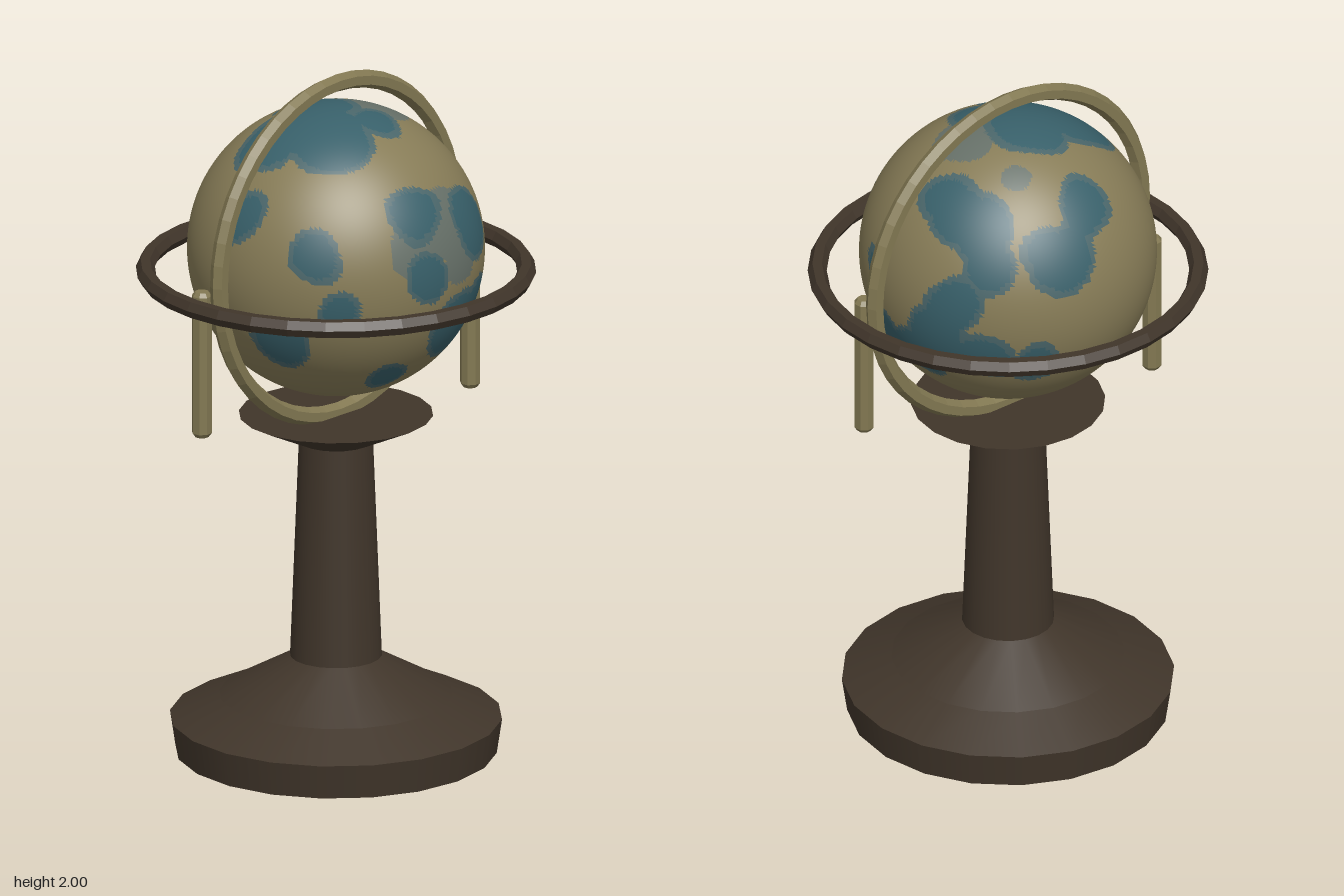
import * as THREE from 'three';

const mat = (name, color, flatShading = false) => {
  const m = new THREE.MeshStandardMaterial({ color, flatShading });
  m.name = name;
  return m;
};

// Patches of the globe map: [across, up, radius] on the unit ball as faced from a direction
const SEAS = [
  { az: 0, el: 0, discs: [
    [.12, .46, .17], [.14, .03, .13], [.45, -.4, .24], [-.62, .22, .14],
    [-.5, -.15, .09], [-.75, -.4, .17], [0, -.71, .13]] },
  { az: 90, el: 0, discs: [
    [-.72, .28, .22], [.05, .17, .09], [.45, .66, .18], [.7, .1, .17],
    [-.65, -.37, .22], [.1, -.3, .13], [.45, -.37, .2]] },
  { az: 0, el: 90, discs: [
    [-.5, 0, .24], [-.1, .08, .24], [-.25, -.3, .3], [.12, -.3, .14],
    [-.28, .7, .17], [.1, .87, .16], [.45, .65, .18], [.62, .32, .17]] },
  { az: 215, el: 25, discs: [
    [-.48, .05, .2], [-.25, .22, .12], [.5, .68, .18], [.85, .25, .15]] },
  { az: 145, el: -25, discs: [
    [.1, .75, .14], [.45, .7, .14], [-.3, .24, .19], [.05, .18, .17], [.4, .05, .14]] },
];
const SHALLOWS = [
  { az: 0, el: 0, discs: [[.35, .35, .25], [.45, .1, .18], [.02, .25, .18]] },
  { az: 0, el: 90, discs: [[.33, 0, .22], [.12, .5, .1]] },
];

// Turns the patch lists into centres on the unit ball
function placeDiscs(list) {
  const out = [];
  for (const { az, el, discs } of list) {
    const a = THREE.MathUtils.degToRad(az), e = THREE.MathUtils.degToRad(el);
    const facing = new THREE.Vector3(Math.sin(a) * Math.cos(e), Math.sin(e), Math.cos(a) * Math.cos(e));
    const right = new THREE.Vector3(Math.cos(a), 0, -Math.sin(a));
    const up = facing.clone().cross(right);
    for (const [u, v, r] of discs) {
      const w = Math.sqrt(1 - u * u - v * v);
      const centre = facing.clone().multiplyScalar(w).addScaledVector(right, u).addScaledVector(up, v);
      out.push({ centre, r });
    }
  }
  return out;
}

// Smooth ball whose faces are sorted into map colours
function globeGeometry(radius) {
  const geo = new THREE.SphereGeometry(radius, 180, 110);
  const seas = placeDiscs(SEAS), shallows = placeDiscs(SHALLOWS);
  const depth = (p, discs) => discs.reduce((best, d) => Math.max(best, d.r - p.distanceTo(d.centre)), -9);
  const pos = geo.attributes.position, old = geo.index.array;
  const bins = [[], [], [], []];
  const p = new THREE.Vector3(), q = new THREE.Vector3();
  for (let i = 0; i < old.length; i += 3) {
    p.set(0, 0, 0);
    for (let k = 0; k < 3; k++) p.add(q.fromBufferAttribute(pos, old[i + k]));
    p.normalize();
    const wobble = .025 * Math.sin(11 * p.x + 5 * p.y) + .02 * Math.sin(13 * p.z - 9 * p.y + 2);
    const sea = depth(p, seas) + wobble;
    const kind = sea > 0 ? 0 : sea > -.045 ? 1 : depth(p, shallows) + wobble > 0 ? 2 : 3;
    bins[kind].push(old[i], old[i + 1], old[i + 2]);
  }
  geo.setIndex(bins.flat());
  geo.clearGroups();
  let start = 0;
  bins.forEach((bin, k) => {
    geo.addGroup(start, bin.length, k);
    start += bin.length;
  });
  return geo;
}

export function createModel() {
  const model = new THREE.Group();
  model.name = 'standingGlobe';
  const wood = mat('dark wood', 0x40352a);
  const woodFlat = mat('dark wood faceted', 0x40352a, true);
  const brass = mat('aged brass', 0x827852, true);
  const map = [mat('sea', 0x38606a), mat('coast', 0x4a666a), mat('shallows', 0x677169), mat('land', 0x877c57)];

  const add = (name, geo, material, x = 0, y = 0) => {
    const m = new THREE.Mesh(geo, material);
    m.name = name;
    m.position.set(x, y, 0);
    model.add(m);
    return m;
  };

  // Pedestal: stacked frustums [name, bottom radius, top radius, bottom y, top y]
  const pedestal = [
    ['footRim', .455, .47, 0, .1],
    ['footLowerSlope', .47, .33, .1, .165],
    ['footUpperSlope', .33, .125, .165, .28],
    ['stem', .13, .105, .28, .92],
    ['dish', .105, .275, .915, .995],
  ];
  for (const [name, r0, r1, y0, y1] of pedestal) {
    add(name, new THREE.CylinderGeometry(r1, r0, y1 - y0, 20), wood, 0, (y0 + y1) / 2);
  }

  // Painted ball
  add('globe', globeGeometry(.42), map, 0, 1.487);

  // Upright ring turned slightly about the vertical
  const meridian = add('meridianRing', new THREE.TorusGeometry(.487, .026, 6, 48), brass, 0, 1.487);
  meridian.rotation.y = .29;

  // Level ring
  const horizon = add('horizonRing', new THREE.TorusGeometry(.538, .027, 6, 32), woodFlat, 0, 1.422);
  horizon.rotation.x = -Math.PI / 2;

  // Side posts with bevelled ends
  const postProfile = [[0, 0], [.02, 0], [.029, .012], [.029, .418], [.02, .43], [0, .43]]
    .map(([r, y]) => new THREE.Vector2(r, y));
  for (const side of [1, -1]) {
    add(side > 0 ? 'leftPost' : 'rightPost', new THREE.LatheGeometry(postProfile, 8), brass, side * .44, 1);
  }
  return model;
}
